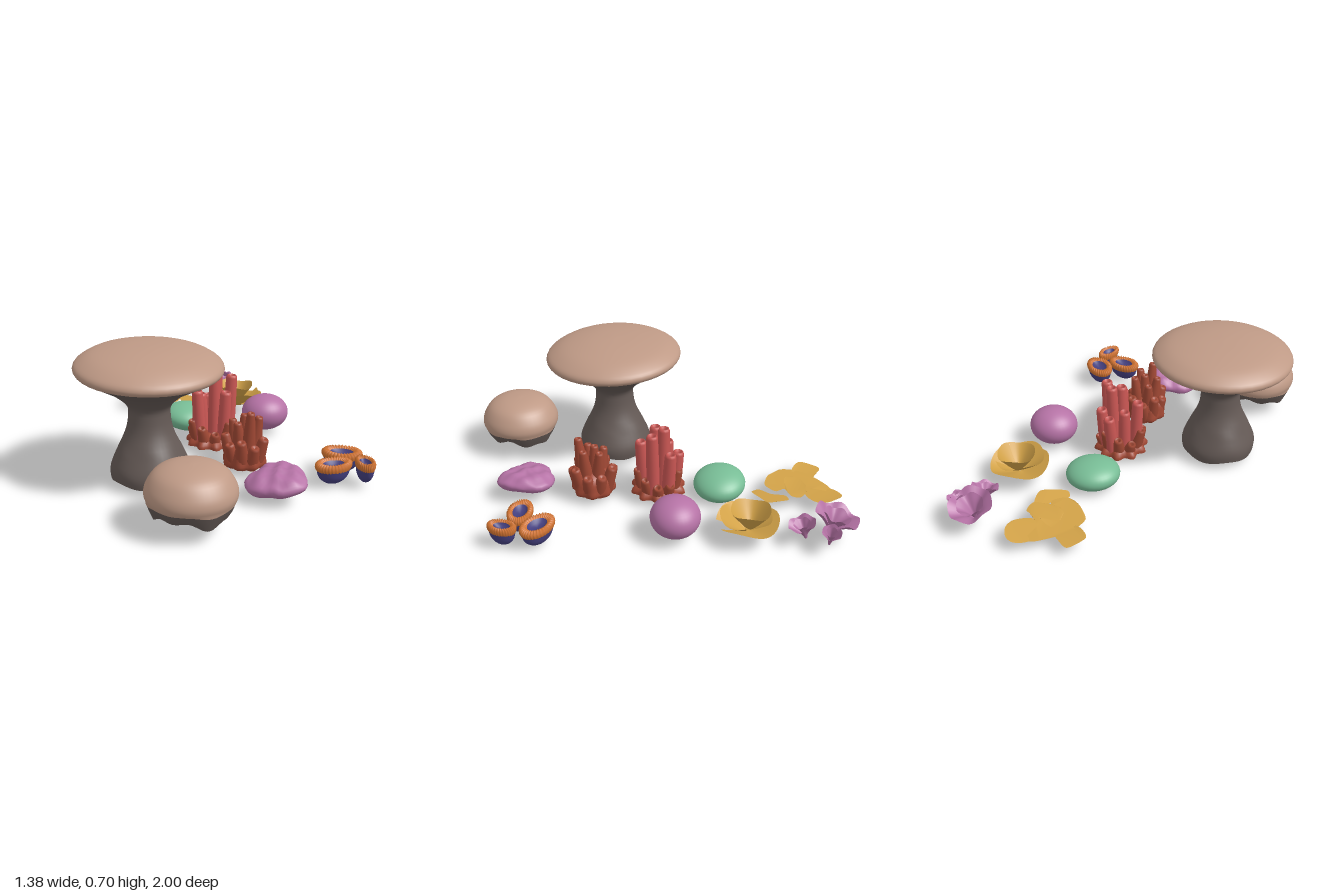
import * as THREE from 'three';
import { mergeVertices } from 'three/addons/utils/BufferGeometryUtils.js';

const V2 = (p) => p.map(([x, y]) => new THREE.Vector2(x, y));

// Move vertices by a rule and rebuild smooth normals without a seam
function deform(geo, rule) {
  geo.deleteAttribute('uv');
  geo.deleteAttribute('normal');
  const g = mergeVertices(geo, 1e-5);
  const p = g.attributes.position;
  const v = new THREE.Vector3();
  for (let i = 0; i < p.count; i++) {
    v.fromBufferAttribute(p, i);
    rule(v, Math.atan2(v.z, v.x));
    p.setXYZ(i, v.x, v.y, v.z);
  }
  g.computeVertexNormals();
  return g;
}

// Smooth lathe through a few profile points (bottom to top)
function lathe(points, seg = 40, steps = 0, arc = Math.PI * 2, start = 0) {
  let pts = V2(points);
  if (steps) pts = new THREE.SplineCurve(pts).getPoints(steps);
  pts.forEach((p) => { p.x = Math.max(0, p.x); });
  return new THREE.LatheGeometry(pts, seg, start, arc);
}

export function createModel() {
  const root = new THREE.Group();
  root.name = 'coralReef';
  const mat = (name, color, side = THREE.DoubleSide) => {
    const m = new THREE.MeshStandardMaterial({ color, side });
    m.name = name;
    return m;
  };
  const tan = mat('tan', 0xbf9a86);
  const stone = mat('darkStone', 0x655a56);
  const purple = mat('purple', 0xb673a6);
  const green = mat('green', 0x78bd96);
  const ochre = mat('ochre', 0xd2a248);
  const rust = mat('rust', 0xa04834);
  const red = mat('red', 0xcb5754);
  const orange = mat('orange', 0xcf7230);
  const blue = mat('indigo', 0x45407f);

  const group = (name, x, y, z) => {
    const g = new THREE.Group();
    g.name = name;
    g.position.set(x, y, z);
    root.add(g);
    return g;
  };
  const add = (parent, name, geo, m) => {
    const o = new THREE.Mesh(geo, m);
    o.name = name;
    parent.add(o);
    return o;
  };

  // Large table coral: cap over a waisted, hollow stem
  const table = group('tableCoral', -0.327, 0, 0.238);
  const tilt = (v) => { v.y -= 0.035 * v.z * Math.min(1, Math.hypot(v.x, v.z) / 0.3); };
  add(table, 'tableCap', deform(lathe([[0.335, 0.578], [0.357, 0.588], [0.366, 0.61], [0.345, 0.638],
    [0.27, 0.675], [0.14, 0.699], [0, 0.706]], 40, 24), tilt), tan);
  add(table, 'tableStem', deform(lathe([[0.195, 0.045], [0.197, 0.1], [0.165, 0.18], [0.12, 0.28], [0.105, 0.36],
    [0.113, 0.42], [0.19, 0.49], [0.28, 0.545], [0.336, 0.578]], 40, 30),
    (v, a) => { if (v.y > 0.5) tilt(v); else if (v.y < 0.2) v.y += 0.006 * Math.sin(5 * a); }), stone);

  // Boulder coral: dome with a wavy dark skirt, open underneath
  const boulder = group('boulderCoral', -0.352, 0, 0.782);
  const wave = (a) => 0.012 * Math.sin(3 * a + 0.6) + 0.007 * Math.sin(7 * a);
  add(boulder, 'boulderDome', deform(lathe([[0.202, 0.155], [0.212, 0.19], [0.2, 0.235], [0.16, 0.288],
    [0.09, 0.318], [0, 0.327]], 48, 20), (v, a) => { if (v.y < 0.16) v.y += wave(a) * 0.5; }), tan);
  add(boulder, 'boulderSkirt', deform(lathe([[0.172, 0.098], [0.19, 0.125], [0.202, 0.155]], 48),
    (v, a) => { v.y += wave(a) * (v.y < 0.11 ? 1.4 : 0.5); }), stone);

  // Lumpy purple plate
  const lump = group('lumpyCoral', 0.148, 0.1, 0.675);
  add(lump, 'lumpyBody', deform(new THREE.SphereGeometry(1, 40, 24), (v, a) => {
    const r = 0.147 * (1 + 0.09 * Math.cos(3 * (a + 0.87)) + 0.02 * Math.sin(7 * a));
    const flat = Math.hypot(v.x, v.z);
    const bump = v.y > 0 ? 0.012 * Math.sin(9 * v.x + 1) * Math.cos(8 * v.z) : 0.004 * Math.sin(6 * a);
    v.set(v.x * r, v.y * 0.058 + bump * (1 - 0.5 * flat) + 0.02 * v.x, v.z * r);
  }), purple);

  // Three cup polyps: indigo bowl and mouth, serrated orange rim
  [[0.592, 0.562, 0.1, 0.068, -0.62, 0.022], [0.476, 0.663, 0.096, 0.062, -0.08, 0.018],
    [0.616, 0.73, 0.074, 0.046, 1.3, 0.028]].forEach(([x, z, a, b, turn, y]) => {
    const g = group('cupPolyp', x, y, z);
    g.rotation.y = turn;
    g.scale.set(a, 1, b);
    add(g, 'polypBowl', deform(lathe([[0, 0], [0.45, 0.01], [0.8, 0.04], [0.95, 0.085]], 40, 14), () => {}), blue);
    add(g, 'polypMouth', deform(lathe([[0.58, 0.105], [0.4, 0.09], [0, 0.084]], 32), () => {}), blue);
    add(g, 'polypRim', deform(lathe([[0.93, 0.075], [1, 0.088], [0.99, 0.104], [0.85, 0.115], [0.68, 0.113], [0.55, 0.1]], 96),
      (v, t) => {
        const k = 1 + 0.035 * Math.cos(32 * t);
        v.x *= k; v.z *= k; v.y += 0.004 * Math.cos(32 * t);
      }), orange);
  });

  // Tapered branch from foot to tip, with a small dimple or a hollow mouth
  const up = new THREE.Vector3(0, 1, 0);
  const branch = (parent, name, foot, tip, r0, r1, depth, m) => {
    const f = new THREE.Vector3(...foot);
    const d = new THREE.Vector3(...tip).sub(f);
    const h = d.length();
    const o = add(parent, name, lathe([[r0, 0], [(r0 + r1) * 0.52, h * 0.5], [r1, h - r1 * 0.5], [r1 * 0.85, h - r1 * 0.1],
      [r1 * 0.6, h], [r1 * 0.42, h - depth * 0.4], [0, h - depth]], 14), m);
    o.position.copy(f);
    o.quaternion.setFromUnitVectors(up, d.normalize());
  };

  // Finger coral: short outer knobs around taller inner fingers
  const finger = group('fingerCoral', 0.16, 0.045, 0.325);
  add(finger, 'fingerBase', deform(lathe([[0, 0], [0.1, 0.002], [0.105, 0.05], [0.085, 0.11], [0, 0.15]], 48, 16),
    (v, a) => { const k = 1 + 0.07 * Math.cos(8 * a); v.x *= k; v.z *= k; }), rust);
  for (let i = 0; i < 9; i++) {
    const a = (i / 9) * Math.PI * 2 + 0.2;
    const c = Math.cos(a), s = Math.sin(a);
    branch(finger, 'outerFinger', [c * 0.06, 0.01, s * 0.065], [c * 0.1, 0.13 + 0.03 * (i % 2), s * 0.112], 0.038, 0.026, 0.008, rust);
  }
  [[-0.01, 0.305, 0.075], [0.055, 0.265, 0.045], [-0.06, 0.245, 0.03], [0.05, 0.255, -0.04], [-0.045, 0.235, -0.055],
    [0, 0.27, -0.01]].forEach(([x, y, z]) =>
    branch(finger, 'innerFinger', [x * 0.6, 0.05, z * 0.6], [x, y, z], 0.04, 0.021, 0.008, rust));

  // Tube coral: red hollow pillars on a lobed rust base
  const tubes = group('tubeCoral', 0.145, 0.045, -0.015);
  add(tubes, 'tubeBase', deform(lathe([[0.135, 0], [0.13, 0.02], [0.1, 0.045], [0, 0.07]], 60, 12), (v, a) => {
    const k = 1 + 0.1 * Math.cos(10 * a);
    v.x *= k; v.z *= k;
  }), rust);
  for (let i = 0; i < 10; i++) {
    const a = (i / 10) * Math.PI * 2;
    const c = Math.cos(a), s = Math.sin(a);
    branch(tubes, 'baseKnob', [c * 0.085, 0.01, s * 0.08], [c * 0.125, 0.085 + 0.03 * (i % 3), s * 0.112], 0.035, 0.024, 0.02, rust);
  }
  [[-0.1, 0.31, 0.01], [0.0, 0.38, 0.015], [0.035, 0.388, -0.03], [0.095, 0.378, 0.03], [0.03, 0.31, 0.09],
    [0.08, 0.26, -0.065], [0.015, 0.24, -0.105], [-0.05, 0.27, -0.05]].forEach(([x, y, z]) =>
    branch(tubes, 'tubePillar', [x * 0.82, 0.02, z * 0.8], [x, y, z], 0.034, 0.03, 0.045, red));

  // Rounded corals
  const dome = (name, x, y, z, rx, ry, rz, m) => {
    const o = add(root, name, new THREE.SphereGeometry(1, 36, 24), m);
    o.position.set(x, y, z);
    o.scale.set(rx, ry, rz);
    return o;
  };
  dome('greenMound', 0.143, 0.083, -0.338, 0.144, 0.076, 0.137, green).rotation.set(0.06, 0, -0.08);
  dome('purpleBall', 0.518, 0.13, -0.105, 0.132, 0.1, 0.126, purple);

  // Flat overlapping ochre plates: outline in x, z with height and slopes
  const plates = group('plateCoral', 0.14, 0, -0.755);
  const plate = (h, sx, sz, outline) => {
    const curve = new THREE.CatmullRomCurve3(outline.map(([x, z]) => new THREE.Vector3(x, 0, z)), true, 'catmullrom', 0.4);
    const shape = new THREE.Shape(curve.getPoints(40).map((p) => new THREE.Vector2(p.x, -p.z)));
    const geo = new THREE.ShapeGeometry(shape);
    geo.rotateX(-Math.PI / 2);
    add(plates, 'plate', deform(geo, (v) => { v.y = h + sx * v.x + sz * v.z + 0.005 * Math.sin(30 * v.x + 18 * v.z); }), ochre);
  };
  plate(0.08, 0.03, 0.04, [[-0.11, -0.04], [0, -0.15], [0.06, -0.16], [0.05, -0.06], [0.13, 0], [0.12, 0.05],
    [0.06, 0.08], [0.08, 0.13], [0.02, 0.18], [-0.07, 0.15], [-0.14, 0.08]]);
  plate(0.066, 0.08, -0.04, [[0.03, -0.16], [0.09, -0.21], [0.14, -0.2], [0.178, -0.14], [0.176, -0.08], [0.12, -0.03], [0.04, -0.03]]);
  plate(0.066, -0.1, 0, [[-0.208, -0.04], [-0.16, -0.13], [-0.1, -0.11], [-0.05, -0.06], [-0.11, 0.02], [-0.17, 0.0]]);
  plate(0.075, 0.05, -0.06, [[0.1, 0.08], [0.15, 0.07], [0.178, 0.17], [0.13, 0.21], [0.06, 0.25], [0.03, 0.21], [0.08, 0.15]]);
  plate(0.1, 0.03, 0.03, [[-0.03, -0.05], [0.06, -0.03], [0.14, -0.01], [0.14, 0.06], [0.05, 0.08], [-0.03, 0.06]]);

  // Scrolled ochre coral: nested open funnels
  const scroll = group('scrollCoral', 0.515, 0, -0.46);
  [[0.155, 0.055, 0.115, 5.7, 0.5, 0, 0], [0.128, 0.055, 0.145, 5.4, 2.4, 0.005, 0.01],
    [0.098, 0.06, 0.18, 6.28, 1, 0.008, -0.012]].forEach(([r, y0, y1, arc, start, x, z]) => {
    const h = y1 - y0;
    const o = add(scroll, 'scrollFunnel', deform(lathe([[0, y0], [r * 0.25, y0 + h * 0.18], [r * 0.65, y0 + h * 0.6], [r, y1]], 40, 10, arc, start),
      (v, a) => { v.y += 0.1 * Math.hypot(v.x, v.z) * Math.sin(3 * a + start); }), ochre);
    o.position.set(x, 0, z);
  });

  // Purple flared cups with rippled rims and an inner whorl
  [[0.52, 0.04, -0.862, 0.11, 0.115, -0.28, 0], [0.555, 0.038, -0.745, 0.069, 0.09, 0.3, 0],
    [0.605, 0.04, -0.85, 0.047, 0.1, 0, -0.35]].forEach(([x, y, z, r, h, tx, tz]) => {
    const g = group('flaredCup', x, y, z);
    g.rotation.set(tx, 0, tz);
    [1, 0.62].forEach((k) => add(g, k === 1 ? 'cupWall' : 'cupWhorl',
      deform(lathe([[0.006, 0], [r * k * 0.25, h * 0.35], [r * k * 0.6, h * 0.72], [r * k, h]], 40, 10),
        (v, a) => { v.y += 0.12 * Math.hypot(v.x, v.z) * Math.sin(5 * a + k * 3); }), purple));
  });

  return root;
}
